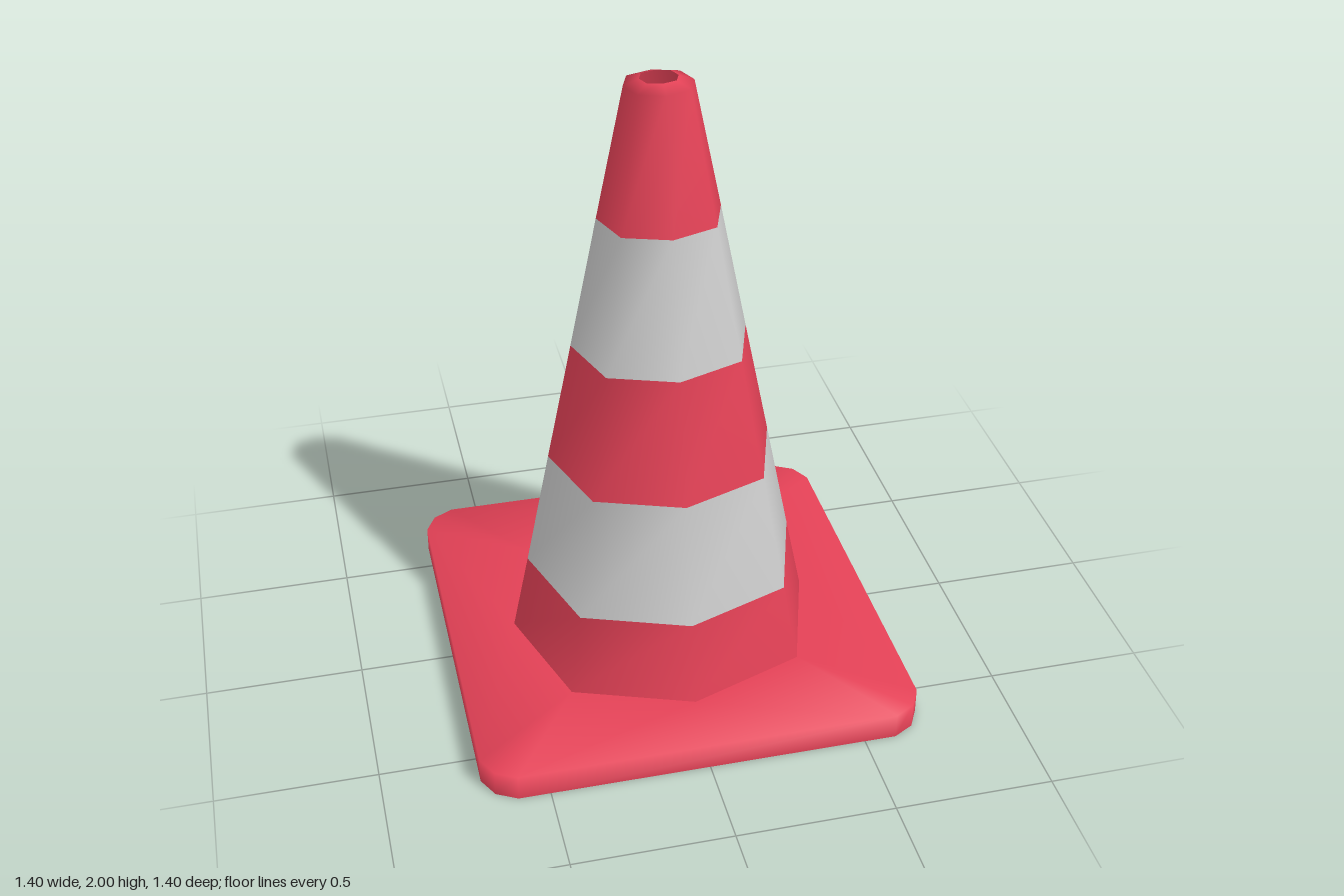
import * as THREE from 'three';

const red = new THREE.MeshStandardMaterial({ color: 0xe34156, side: THREE.DoubleSide });
const grey = new THREE.MeshStandardMaterial({ color: 0xcccccc, side: THREE.DoubleSide });

// Eight-sided ring, starting on +x and turning towards +z
function octagon(rx, rz, y) {
  const dx = 0.755 * rx, dz = 0.737 * rz;
  return [[rx, 0], [dx, dz], [0, rz], [-dx, dz], [-rx, 0], [-dx, -dz], [0, -rz], [dx, -dz]]
    .map(([x, z]) => [x, y, z]);
}

// Faces joining stacked rings of n points, lowest ring first
function bridge(rings, n) {
  const index = [];
  for (let r = 0; r < rings - 1; r++) {
    for (let i = 0; i < n; i++) {
      const a = r * n + i, b = r * n + (i + 1) % n;
      index.push(a, a + n, b, b, a + n, b + n);
    }
  }
  return index;
}

function makeMesh(name, points, index, material) {
  const geometry = new THREE.BufferGeometry();
  geometry.setAttribute('position', new THREE.Float32BufferAttribute(points.flat(), 3));
  geometry.setIndex(index);
  geometry.computeVertexNormals();
  const mesh = new THREE.Mesh(geometry, material);
  mesh.name = name;
  return mesh;
}

// Hollow square foot with cut corners and a gently rising top
function makeBase() {
  const corner = [[0.7, 0.6], [0.665, 0.665], [0.6, 0.7]];
  const outline = [];
  for (let q = 0; q < 4; q++) {
    for (let [x, z] of corner) {
      for (let k = 0; k < q; k++) [x, z] = [-z, x];
      outline.push([x, z]);
    }
  }
  const points = [
    ...outline.map(([x, z]) => [x, 0, z]),
    ...outline.map(([x, z]) => [x, 0.085, z]),
    ...octagon(0.49, 0.51, 0.1),
  ];
  const index = bridge(2, 12);
  for (let q = 0; q < 4; q++) {
    const o = (i) => 12 + (3 * q + i) % 12;
    const inner = (i) => 24 + (2 * q + i) % 8;
    index.push(
      o(0), inner(0), inner(1),
      o(1), o(0), inner(1),
      o(2), o(1), inner(1),
      o(2), inner(1), inner(2),
      o(3), o(2), inner(2),
    );
  }
  return makeMesh('base', points, index, red);
}

export function createModel() {
  const group = new THREE.Group();
  group.name = 'trafficCone';
  group.add(makeBase());

  // Cone levels: x radius, z radius, height
  const levels = [
    [0.49, 0.51, 0.1], [0.436, 0.454, 0.36], [0.357, 0.368, 0.75],
    [0.276, 0.28, 1.145], [0.19, 0.184, 1.57], [0.105, 0.095, 1.982],
  ];
  const names = ['lowerBand', 'lowerStripe', 'middleBand', 'upperStripe', 'topBand'];
  names.forEach((name, i) => {
    const rings = [levels[i], levels[i + 1]];
    if (i === 4) rings.push([0.058, 0.05, 2]); // lip around the open top
    const points = rings.flatMap((level) => octagon(...level));
    group.add(makeMesh(name, points, bridge(rings.length, 8), i % 2 ? grey : red));
  });
  return group;
}
